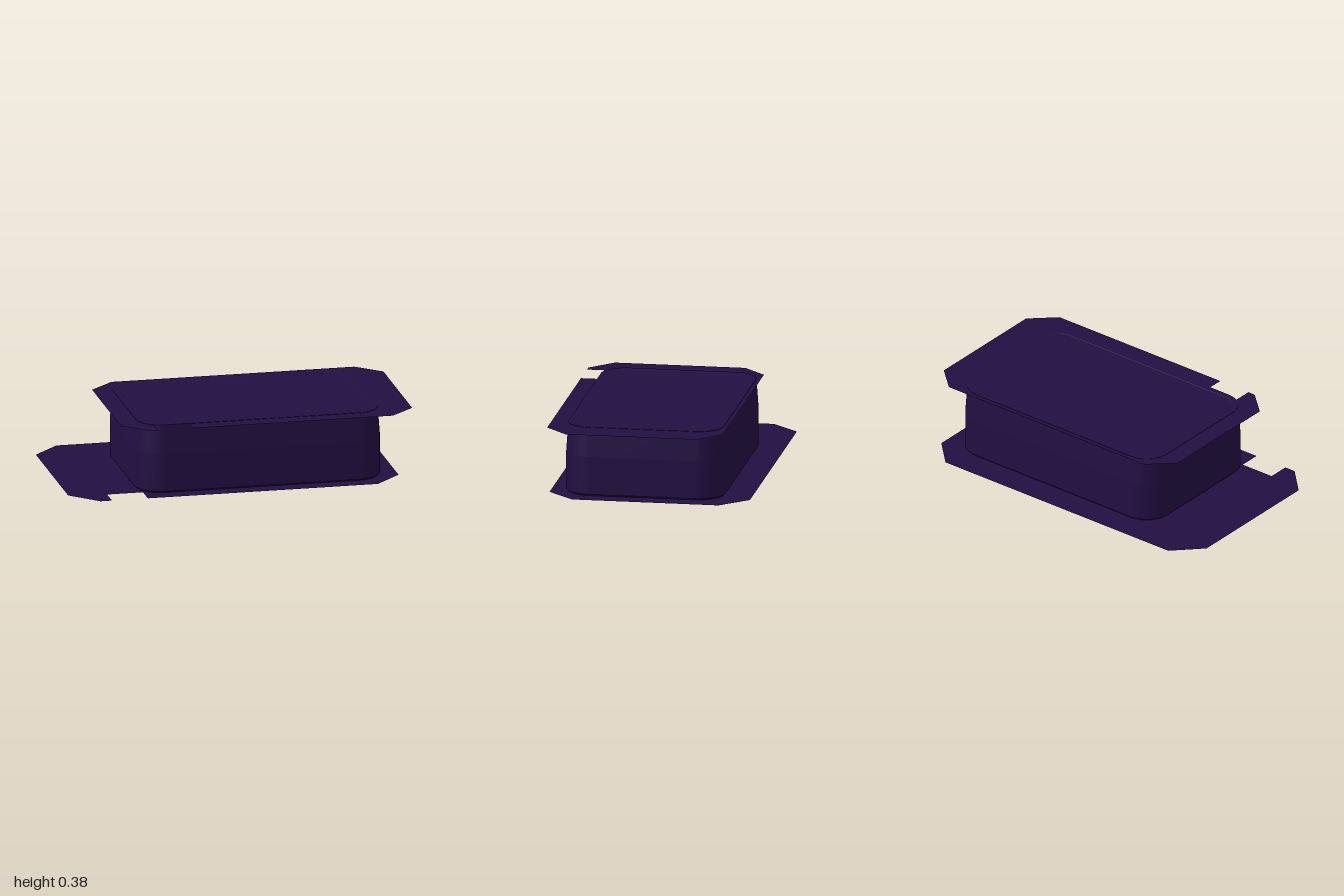
import * as THREE from 'three';

const material = new THREE.MeshStandardMaterial({ color: 0x220e42, side: THREE.DoubleSide });

// Outline of a rounded rectangle as [x, z] pairs
function roundedLoop(halfX, halfZ, r, steps = 8) {
  const pts = [];
  [[1, 1], [-1, 1], [-1, -1], [1, -1]].forEach(([sx, sz], q) => {
    for (let i = 0; i <= steps; i++) {
      const a = (q + i / steps) * Math.PI / 2;
      pts.push([sx * (halfX - r) + r * Math.cos(a), sz * (halfZ - r) + r * Math.sin(a)]);
    }
  });
  return pts;
}

// Band of wall between two rounded loops: [inset, y] below and above
const HALF_X = 0.687, HALF_Z = 0.441, RADIUS = 0.15;
function band(name, lower, upper) {
  const pos = [], idx = [];
  const loops = [lower, upper].map(([inset]) =>
    roundedLoop(HALF_X - inset, HALF_Z - inset, RADIUS - inset));
  const n = loops[0].length;
  loops.forEach((loop, k) => loop.forEach(([x, z]) => pos.push(x, [lower, upper][k][1], z)));
  for (let i = 0; i < n; i++) {
    const j = (i + 1) % n;
    idx.push(i, n + i, j, j, n + i, n + j);
  }
  const g = new THREE.BufferGeometry();
  g.setAttribute('position', new THREE.Float32BufferAttribute(pos, 3));
  g.setIndex(idx);
  g.computeVertexNormals();
  const mesh = new THREE.Mesh(g, material);
  mesh.name = name;
  return mesh;
}

// Flat upward-facing sheet from [x, z] points
function sheet(name, pts, y) {
  const shape = new THREE.Shape(pts.map(([x, z]) => new THREE.Vector2(x, -z)));
  const mesh = new THREE.Mesh(new THREE.ShapeGeometry(shape).rotateX(-Math.PI / 2), material);
  mesh.position.y = y;
  mesh.name = name;
  return mesh;
}

// Rectangle with cut corners and one rectangular notch in its front edge
function flangePoints(x0, x1, z0, z1, cx, cz, n0, n1, depth) {
  return [
    [x0 + cx, z0], [x1 - cx, z0], [x1, z0 + cz], [x1, z1 - cz], [x1 - cx, z1],
    [n1, z1], [n1, z1 - depth], [n0, z1 - depth], [n0, z1],
    [x0 + cx, z1], [x0, z1 - cz], [x0, z0 + cz],
  ];
}

export function createModel() {
  const model = new THREE.Group();
  model.name = 'flangedCase';

  // Thin flanges above and below
  model.add(
    sheet('lowerFlange', flangePoints(-0.957, 0.892, -0.56, 0.55, 0.148, 0.15, -0.745, -0.544, 0.121), 0),
    sheet('upperFlange', flangePoints(-0.667, 0.963, -0.424, 0.549, 0.135, 0.125, -0.488, -0.292, 0.12), 0.383),
  );

  // Case body: bevelled foot, upright lower wall, slightly tapered upper wall
  const body = new THREE.Group();
  body.name = 'caseBody';
  body.position.set(0.115, 0, 0.03);
  body.add(
    band('footBevel', [0.01, 0], [0, 0.01]),
    band('lowerWall', [0, 0.01], [0, 0.22]),
    band('upperWall', [0, 0.22], [0.012, 0.385]),
    band('lidRim', [0.012, 0.385], [0.042, 0.385]),
    band('lidStep', [0.042, 0.385], [0.046, 0.3835]),
    sheet('lidPanel', roundedLoop(HALF_X - 0.046, HALF_Z - 0.046, RADIUS - 0.046), 0.3835),
    sheet('base', roundedLoop(HALF_X - 0.01, HALF_Z - 0.01, RADIUS - 0.01), 0),
  );
  model.add(body);

  // The whole case sits turned a little
  const root = new THREE.Group();
  model.rotation.y = -Math.asin(0.129);
  root.add(model);
  return root;
}
